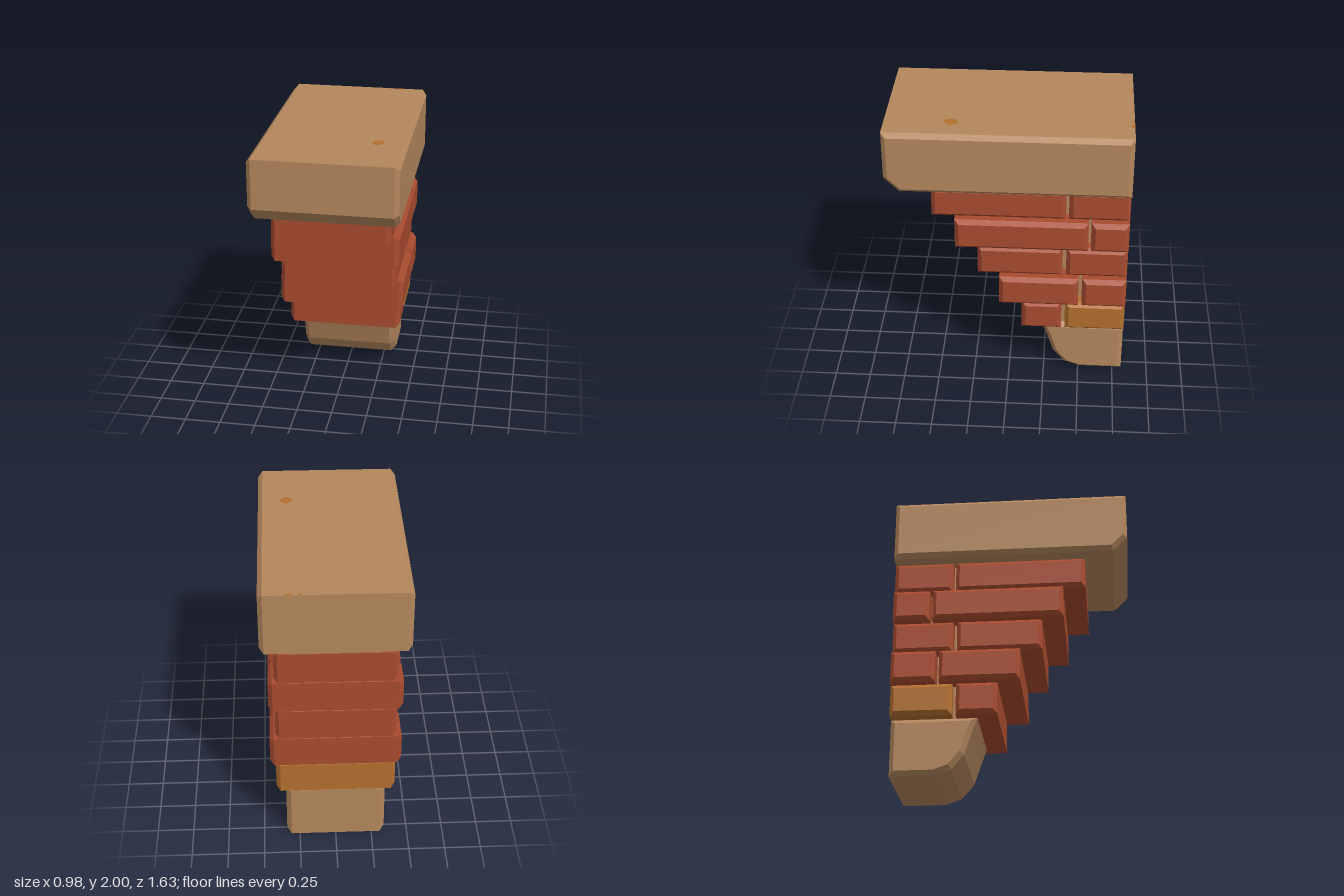
import * as THREE from 'three';

const stone = new THREE.MeshStandardMaterial({ color: 0xb4875d });
stone.name = 'sandstone';
const brick = new THREE.MeshStandardMaterial({ color: 0xa84b2f });
brick.name = 'red brick';
const ochre = new THREE.MeshStandardMaterial({ color: 0xb36f2e });
ochre.name = 'ochre';

const BACK = -0.815;

// Side profile of [z, y] points, extruded across x with chamfered ends
function block(name, profile, halfWidth, bevel, material) {
  const shape = new THREE.Shape(profile.map(([z, y]) => new THREE.Vector2(z, y)));
  const depth = 2 * (halfWidth - bevel);
  const geometry = new THREE.ExtrudeGeometry(shape, {
    depth, bevelEnabled: true, bevelSegments: 1,
    bevelThickness: bevel, bevelSize: bevel, bevelOffset: -bevel,
  });
  geometry.translate(0, 0, -depth / 2);
  geometry.rotateY(-Math.PI / 2);
  const mesh = new THREE.Mesh(geometry, material);
  mesh.name = name;
  return mesh;
}

const rect = (z0, z1, y0, y1) => [[z0, y0], [z1, y0], [z1, y1], [z0, y1]];

// Thin irregular stain lying on the top face
function stain(points) {
  const shape = new THREE.Shape(points.map(([x, z]) => new THREE.Vector2(x, -z)));
  const geometry = new THREE.ShapeGeometry(shape);
  geometry.rotateX(-Math.PI / 2);
  geometry.translate(0, 2.001, 0);
  const mesh = new THREE.Mesh(geometry, ochre);
  mesh.name = 'stain';
  return mesh;
}

export function createModel() {
  const model = new THREE.Group();
  model.name = 'corbel';

  // Cap slab with a cut lower front edge
  model.add(block('capSlab',
    [[BACK, 1.56], [0.72, 1.56], [0.82, 1.66], [0.82, 2], [BACK, 2]], 0.49, 0.03, stone));

  // Rounded foot stone
  model.add(block('footStone',
    [[BACK, 0], [-0.515, 0], [-0.4, 0.04], [-0.315, 0.145], [-0.27, 0.285], [-0.23, 0.4], [BACK, 0.4]],
    0.34, 0.032, stone));

  // Mortar core seen in the joints
  const core = new THREE.Mesh(new THREE.BoxGeometry(0.61, 1.18, 0.58), stone);
  core.name = 'mortarCore';
  core.position.set(0, 0.98, -0.52);
  model.add(core);

  // Brick courses, each stepping further forward: front z, joint front z, joint back z
  const courses = [
    [-0.09, -0.37, -0.395],
    [0.065, -0.485, -0.51],
    [0.215, -0.37, -0.395],
    [0.365, -0.54, -0.56],
    [0.52, -0.385, -0.405],
  ];
  courses.forEach(([front, jointFront, jointBack], i) => {
    const y0 = 0.403 + i * 0.231;
    const y1 = y0 + 0.224;
    const half = i % 2 ? 0.443 : 0.405;
    const course = new THREE.Group();
    course.name = 'brickCourse' + (i + 1);
    course.add(
      block('frontBrick', rect(jointFront, front, y0, y1), half, 0.028, brick),
      block('backBrick', rect(BACK, jointBack, y0, y1), half, 0.028, i === 0 ? ochre : brick));
    model.add(course);
  });

  // Stains on the slab
  model.add(
    stain([[0.26, 0.36], [0.28, 0.34], [0.3, 0.33], [0.32, 0.345], [0.34, 0.37], [0.34, 0.39],
      [0.32, 0.41], [0.3, 0.425], [0.275, 0.425], [0.27, 0.405], [0.255, 0.395]]),
    stain([[0.21, 0.415], [0.222, 0.41], [0.23, 0.42], [0.215, 0.425]]),
    stain([[0.265, BACK], [0.32, BACK], [0.31, -0.795], [0.275, -0.79]]),
    stain([[0.21, BACK], [0.235, BACK], [0.23, -0.795], [0.215, -0.795]]));

  return model;
}
